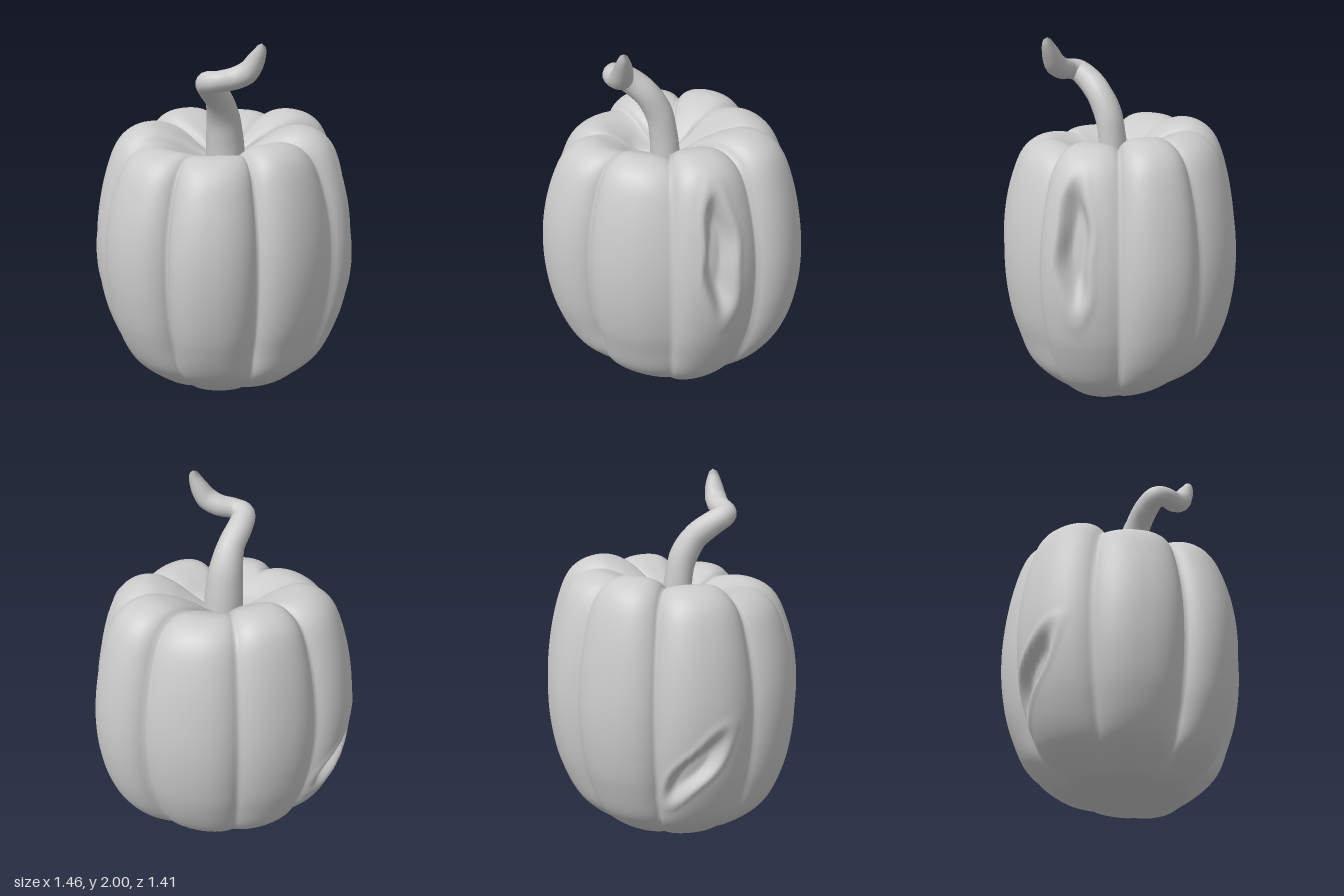
import * as THREE from 'three';

const material = new THREE.MeshStandardMaterial({ color: 0xcccccc });
const rad = THREE.MathUtils.degToRad;
const { smoothstep, lerp } = THREE.MathUtils;

// Grooves between ribs: [angle from +x towards +z, radius]; rib i lies between groove i and i + 1
const grooves = [[-21, 0.69], [20, 0.635], [70, 0.56], [118, 0.595], [164, 0.66], [212, 0.615], [258, 0.635], [302, 0.69], [339, 0.69]];
// Ribs: [radius, radius change towards the next groove, height offset of the crown]
const ribs = [
  [0.725, 0, 0.003], [0.655, 0, -0.035], [0.705, 0.045, -0.072], [0.718, 0.015, -0.072],
  [0.73, 0, 0.005], [0.685, 0, 0.035], [0.715, 0.02, 0.01], [0.8, 0, 0.038],
];

// Rib profile from the base centre, up the side, into the dish: (fraction of radius, height)
const profile = new THREE.SplineCurve([
  [0, 0.038], [0.25, 0.037], [0.43, 0.038], [0.57, 0.075], [0.78, 0.2], [0.915, 0.4], [0.98, 0.6], [1, 0.8], [0.98, 1.0],
  [0.925, 1.2], [0.84, 1.37], [0.73, 1.455], [0.58, 1.485], [0.42, 1.455], [0.26, 1.39], [0.12, 1.33], [0, 1.31],
].map(([x, y]) => new THREE.Vector2(x, y)));

// Radius and crown height at an angle, and s: 0 in a groove, 1 on the crown of a rib
function ribAt(deg) {
  const d = deg >= 339 ? deg - 360 : deg;
  let i = 0;
  while (i < 7 && d >= grooves[i + 1][0]) i++;
  const [a0, r0] = grooves[i], [a1, r1] = grooves[i + 1];
  const [radius, skew, crown] = ribs[i];
  const t = (d - a0) / (a1 - a0);
  const s = Math.pow(Math.max(0, 1 - Math.pow(Math.abs(2 * t - 1), 2.5)), 0.75);
  return { r: lerp(lerp(r0, r1, t), radius + skew * (2 * t - 1), s), s, crown };
}

// Gouges in the skin: centre angle, height, half width, half length, lean, depth
const scars = [
  { a: -1, y: 0.985, w: 0.1, h: 0.375, lean: 0.03, depth: 0.095 },
  { a: 194, y: 0.55, w: 0.085, h: 0.28, lean: -0.7, depth: 0.065 },
];
function scarOffset(deg, y) {
  let offset = 0;
  for (const c of scars) {
    const da = ((deg - c.a + 540) % 360) - 180;
    const u = rad(da) * 0.72, v = y - c.y;
    const p = u * Math.cos(c.lean) - v * Math.sin(c.lean);
    const q = u * Math.sin(c.lean) + v * Math.cos(c.lean);
    const wob = 0.008 * Math.sin(q * 17);
    const d = Math.hypot((p + wob) / c.w, q / c.h);
    offset -= c.depth * (1 - smoothstep(d, 0.4, 1.0));
    offset += 0.006 * Math.exp(-Math.pow((d - 1.12) / 0.15, 2));
  }
  return offset;
}

// Ribbed body as a closed grid of rings
function bodyGeometry(cols = 256, rows = 120) {
  const pos = [], index = [];
  const samples = profile.getSpacedPoints(rows);
  for (let j = 0; j <= rows; j++) {
    const f = Math.max(0, samples[j].x), h = samples[j].y;
    const upper = smoothstep(h, 0.8, 1.45) * smoothstep(f, 0, 0.3);
    const low = 1 - smoothstep(h, 0.05, 0.35);
    const side = smoothstep(f, 0.6, 0.9);
    for (let i = 0; i < cols; i++) {
      const deg = (i / cols) * 360, a = rad(deg);
      const { r, s, crown } = ribAt(deg);
      const R = f * lerp(r, 0.68 + 0.03 * s, low * 0.6) + side * scarOffset(deg, h);
      const foot = 0.034 * low * smoothstep(f, 0.1, 0.42) * Math.pow(Math.max(0, Math.cos(a)), 4);
      const y = h + upper * lerp(-0.06 - 0.04 * Math.sin(a), crown, Math.pow(s, 0.8)) - foot;
      pos.push(R * Math.cos(a), Math.max(0, y), R * Math.sin(a));
    }
  }
  for (let j = 0; j < rows; j++) {
    for (let i = 0; i < cols; i++) {
      const k = (i + 1) % cols;
      const a = j * cols + i, b = j * cols + k, c = a + cols, d = b + cols;
      if (j > 0) index.push(a, c, b);
      if (j < rows - 1) index.push(b, c, d);
    }
  }
  const g = new THREE.BufferGeometry();
  g.setAttribute('position', new THREE.Float32BufferAttribute(pos, 3));
  g.setIndex(index);
  g.computeVertexNormals();
  return g;
}

// Crooked stem: a tube whose rings taper along its path; points are x, y, z, radius
function stemGeometry(n = 80, sides = 16) {
  const pts = [
    [0.01, 1.27, 0.015, 0.112], [0.005, 1.42, 0.025, 0.105], [-0.003, 1.55, 0.05, 0.093], [-0.025, 1.66, 0.11, 0.075],
    [-0.065, 1.735, 0.19, 0.07], [-0.08, 1.78, 0.265, 0.062], [-0.03, 1.793, 0.3, 0.056], [0.06, 1.81, 0.3, 0.06],
    [0.13, 1.845, 0.31, 0.062], [0.175, 1.91, 0.318, 0.05], [0.2, 1.965, 0.325, 0.032], [0.205, 1.99, 0.325, 0.02], [0.207, 2, 0.325, 0.001],
  ];
  const curve = new THREE.CatmullRomCurve3(pts.map(([x, y, z]) => new THREE.Vector3(x, y, z)));
  const g = new THREE.TubeGeometry(curve, n, 1, sides);
  const p = g.attributes.position, v = new THREE.Vector3();
  for (let i = 0; i <= n; i++) {
    const u = i / n, c = curve.getPointAt(u);
    const t = curve.getUtoTmapping(u) * (pts.length - 1);
    const k = Math.min(Math.floor(t), pts.length - 2);
    const radius = lerp(pts[k][3], pts[k + 1][3], t - k);
    const flat = lerp(0.7, 1, smoothstep(u, 0.15, 0.5));
    for (let j = 0; j <= sides; j++) {
      const id = i * (sides + 1) + j;
      v.fromBufferAttribute(p, id).sub(c).multiplyScalar(radius);
      v.z *= flat;
      p.setXYZ(id, c.x + v.x, c.y + v.y, c.z + v.z);
    }
  }
  return g;
}

export function createModel() {
  const group = new THREE.Group();
  group.name = 'pumpkin';
  const add = (name, geometry) => {
    const mesh = new THREE.Mesh(geometry, material);
    mesh.name = name;
    group.add(mesh);
  };
  add('body', bodyGeometry());
  add('stem', stemGeometry());
  return group;
}
